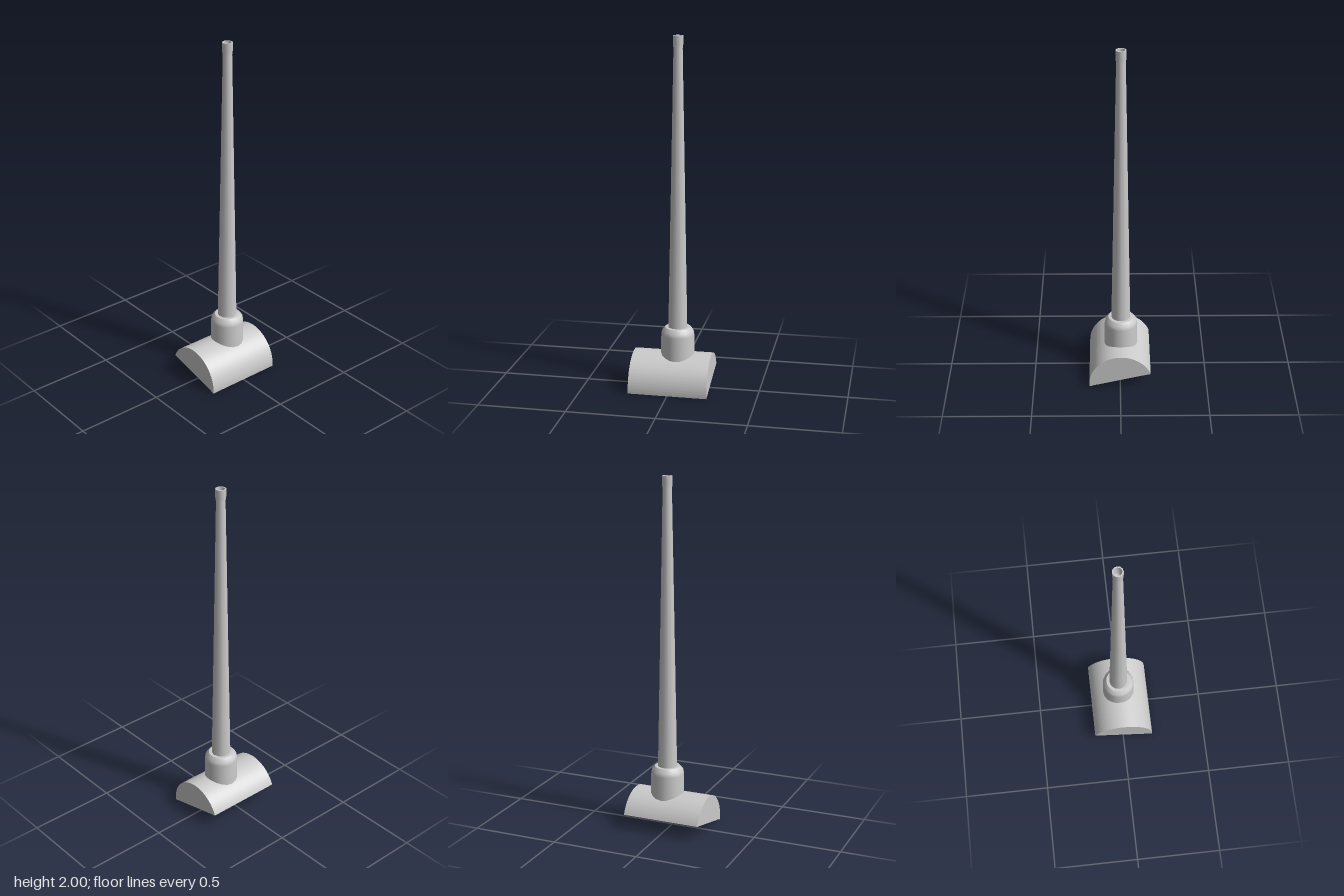
import * as THREE from 'three';

const AXIS_X = 0.028, AXIS_Z = -0.004;      // axis of socket and pole
const LENGTH = 0.45, CENTRE_Y = 0.016, R = 0.184;
const START = -0.088, END = 2.76;           // arc from front lip over the top to back lip

const material = new THREE.MeshStandardMaterial({ color: 0xcccccc, side: THREE.DoubleSide });

function addMesh(parent, name, geometry) {
  const mesh = new THREE.Mesh(geometry, material);
  mesh.name = name;
  parent.add(mesh);
  return mesh;
}

// Extrudes a shape drawn in (z, y) along the x axis, centred on x
function extrudeAlongX(shape, length, x) {
  const g = new THREE.ExtrudeGeometry(shape, { depth: length, bevelEnabled: false, curveSegments: 20 });
  g.translate(0, 0, -length / 2);
  g.rotateY(-Math.PI / 2);
  // local x -> +z, local z -> -x: the part is symmetric along x
  g.translate(x, 0, 0);
  return g;
}

function lathe(points, sides) {
  return new THREE.LatheGeometry(points.map(([r, y]) => new THREE.Vector2(r, y)), sides);
}

export function createModel() {
  const group = new THREE.Group();

  // Tilted half-round shell, open below
  const head = new THREE.Group();
  head.name = 'head';
  group.add(head);
  const shell = new THREE.Shape();
  shell.absarc(AXIS_Z, CENTRE_Y, R, START, END, false);
  shell.absarc(AXIS_Z, CENTRE_Y, R - 0.014, END, START, true);
  addMesh(head, 'shell', extrudeAlongX(shell, LENGTH, 0));

  // Flat plates closing both ends
  const plate = new THREE.Shape();
  plate.absarc(AXIS_Z, CENTRE_Y, R, START, END, false);
  for (const side of [-1, 1]) {
    addMesh(head, side > 0 ? 'leftEndPlate' : 'rightEndPlate',
      extrudeAlongX(plate, 0.004, side * (LENGTH / 2 - 0.002)));
  }

  // Socket with a chamfered shoulder, its foot reaching into the shell
  const socket = addMesh(group, 'socket', lathe([
    [0, 0.15], [0.096, 0.15], [0.096, 0.15], [0.094, 0.31], [0.09, 0.333],
    [0.072, 0.354], [0.072, 0.354], [0, 0.356],
  ], 18));
  socket.position.set(AXIS_X, 0, AXIS_Z);

  // Tapered pole with a collar and a hollow end
  const pole = addMesh(group, 'pole', lathe([
    [0.055, 0.34], [0.0255, 1.93], [0.029, 1.955], [0.029, 2], [0.029, 2],
    [0.022, 2], [0.022, 2], [0.021, 1.94], [0.012, 1.925], [0, 1.92],
  ], 12));
  pole.position.set(AXIS_X, 0, AXIS_Z);

  return group;
}
